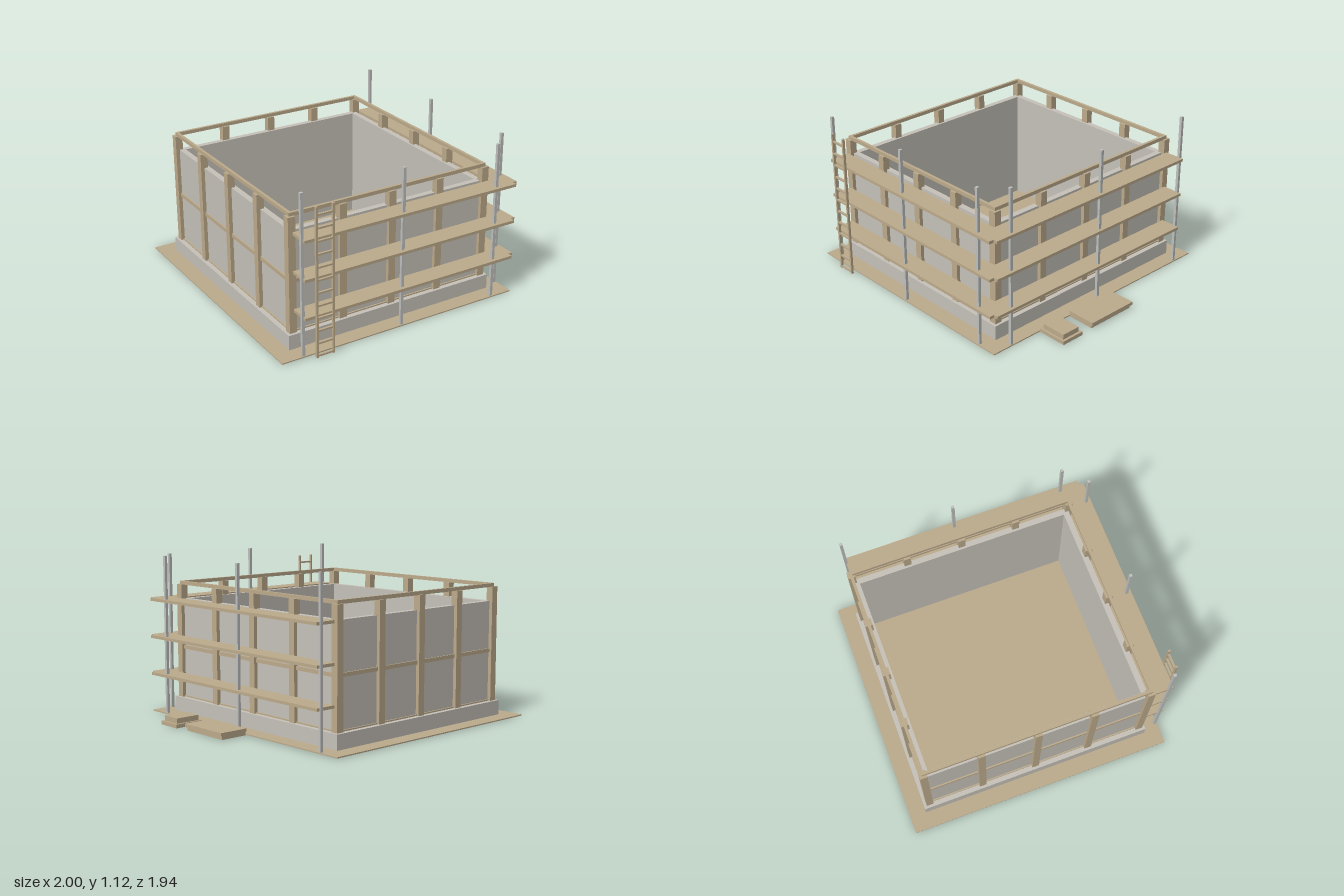
import * as THREE from 'three';

export function createModel() {
  const root = new THREE.Group();
  const mat = (name, color) => {
    const m = new THREE.MeshStandardMaterial({ color });
    m.name = name;
    return m;
  };
  const wood = mat('timber', 0xbdab8c);
  const concrete = mat('concrete', 0xc6c2ba);
  const steel = mat('scaffold steel', 0xbfc1be);

  const group = (name) => {
    const g = new THREE.Group();
    g.name = name;
    root.add(g);
    return g;
  };
  // Box given by its minimum and maximum corners
  const box = (parent, name, m, x0, x1, y0, y1, z0, z1) => {
    const mesh = new THREE.Mesh(new THREE.BoxGeometry(x1 - x0, y1 - y0, z1 - z0), m);
    mesh.position.set((x0 + x1) / 2, (y0 + y1) / 2, (z0 + z1) / 2);
    mesh.name = name;
    parent.add(mesh);
  };
  // Horizontal slab from a plan outline of [x, z] points, with optional hole
  const slab = (parent, name, m, outline, y0, y1, hole) => {
    const pts = (a) => a.map(([x, z]) => new THREE.Vector2(x, -z));
    const shape = new THREE.Shape(pts(outline));
    if (hole) shape.holes.push(new THREE.Path(pts(hole)));
    const geo = new THREE.ExtrudeGeometry(shape, { depth: y1 - y0, bevelEnabled: false });
    geo.rotateX(-Math.PI / 2);
    const mesh = new THREE.Mesh(geo, m);
    mesh.position.y = y0;
    mesh.name = name;
    parent.add(mesh);
  };

  // Centre lines of the four walls
  const X0 = -0.842, X1 = 0.63, Z0 = -0.811, Z1 = 0.767;
  // Rectangle around the centre lines, counter-clockwise seen from above
  const rect = (o) => [[X0 - o, Z1 + o], [X1 + o, Z1 + o], [X1 + o, Z0 - o], [X0 - o, Z0 - o]];
  const ring = (parent, name, m, outer, inner, y0, y1) =>
    slab(parent, name, m, rect(outer), y0, y1, rect(inner));

  // Ground board, footing and walls
  box(root, 'groundBoard', wood, -1, 0.786, 0.002, 0.01, -0.97, 0.925);
  ring(root, 'footing', concrete, 0.044, -0.041, 0, 0.112);
  ring(root, 'walls', concrete, 0, -0.041, 0.112, 0.81);

  // Timber frame: studs every quarter of each wall, and three rails
  const frame = group('timberFrame');
  const stud = (x, z) =>
    box(frame, 'stud', wood, x - 0.026, x + 0.026, 0.112, 0.91, z - 0.025, z + 0.025);
  for (let i = 0; i <= 4; i++) {
    const x = X0 + (X1 - X0) * i / 4;
    const z = Z0 + (Z1 - Z0) * i / 4;
    stud(x, Z0);
    stud(x, Z1);
    if (i > 0 && i < 4) {
      stud(X0, z);
      stud(X1, z);
    }
  }
  ring(frame, 'bottomRail', wood, 0.01, -0.01, 0.1, 0.121);
  ring(frame, 'middleRail', wood, 0.01, -0.01, 0.455, 0.481);
  ring(frame, 'topRail', wood, 0.01, -0.01, 0.908, 0.933);

  // Scaffold decks wrap the front and the left side
  const scaffold = group('scaffold');
  const deck = [
    [-0.842, 0.8], [0.656, 0.8], [0.656, -0.811], [0.803, -0.811],
    [0.803, 0.908], [0.771, 0.908], [0.771, 0.943], [-0.842, 0.943],
  ];
  for (const y of [0.276, 0.54, 0.803]) slab(scaffold, 'deck', wood, deck, y - 0.01, y + 0.01);

  // Scaffold posts
  const post = (x, z) =>
    box(scaffold, 'post', steel, x - 0.01, x + 0.01, 0.005, 1.115, z - 0.01, z + 0.01);
  for (const t of [0, 0.5, 1]) {
    post(X0 + (X1 - X0) * t, 0.908);
    post(0.771, Z0 + (Z1 - Z0) * t);
  }

  // Ladder
  const ladder = group('ladder');
  for (const x of [-0.771, -0.653]) {
    box(ladder, 'ladderRail', wood, x - 0.007, x + 0.007, 0, 1.027, 0.953, 0.97);
  }
  for (let i = 0; i < 12; i++) {
    const y = 0.013 + i * 0.0873;
    box(ladder, 'rung', wood, -0.766, -0.658, y - 0.006, y + 0.006, 0.954, 0.969);
  }

  // Stacked boards beside the building
  const stacks = group('boardStacks');
  box(stacks, 'longBoardLower', wood, 0.79, 0.985, 0, 0.026, -0.115, 0.252);
  box(stacks, 'longBoardUpper', wood, 0.79, 1, 0.026, 0.048, -0.125, 0.26);
  box(stacks, 'shortBoardLower', wood, 0.787, 1, 0, 0.026, 0.353, 0.524);
  box(stacks, 'shortBoardUpper', wood, 0.805, 0.982, 0.026, 0.062, 0.37, 0.51);

  return root;
}
